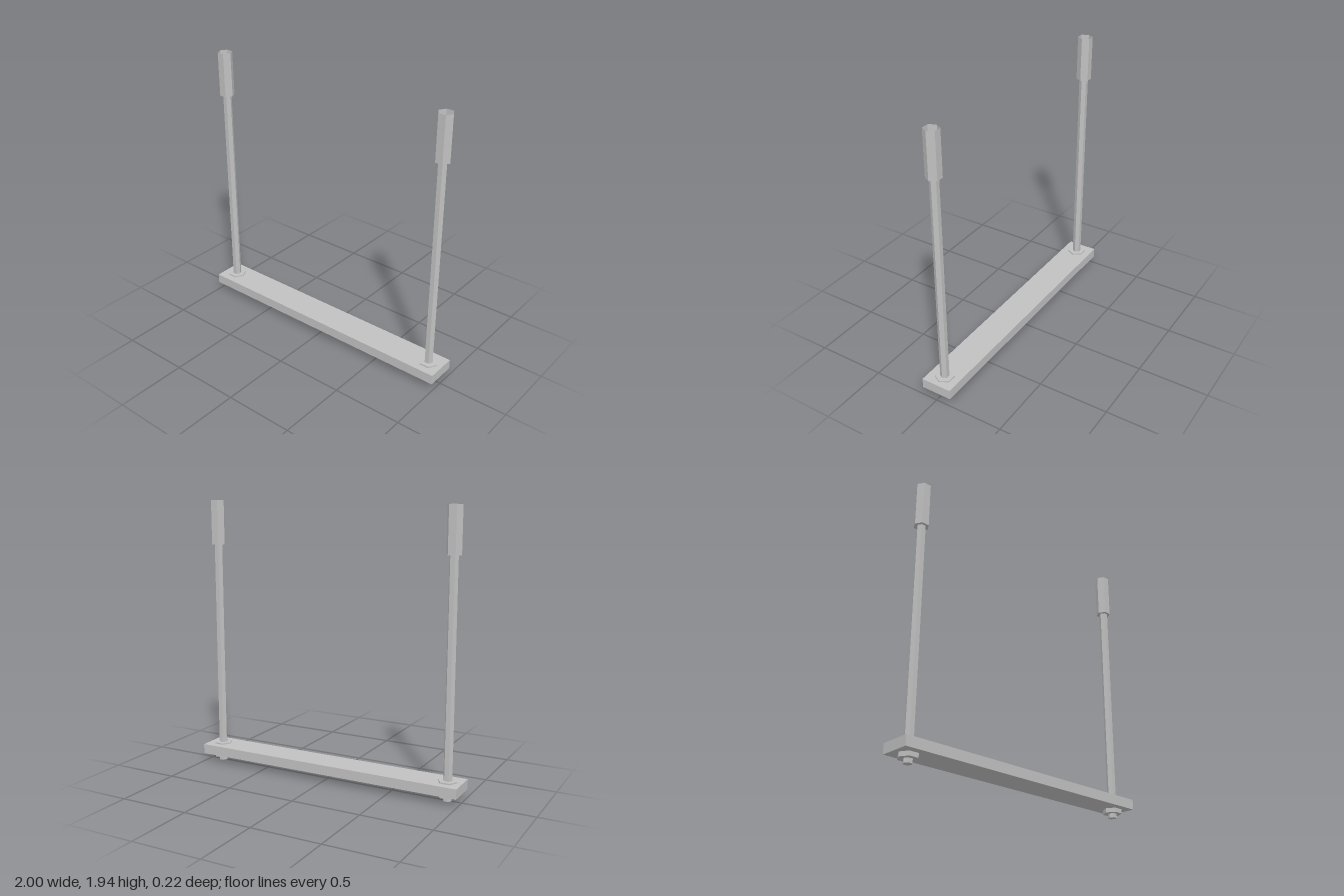
import * as THREE from 'three';

export function createModel() {
  const model = new THREE.Group();
  model.name = 'trapezeHanger';

  // double-sided because the coupling sleeves are open at the top
  const steel = new THREE.MeshStandardMaterial({ color: 0xc0c0c0, side: THREE.DoubleSide, flatShading: true });
  steel.name = 'galvanised steel';

  const add = (parent, name, geometry, y) => {
    const mesh = new THREE.Mesh(geometry, steel);
    mesh.name = name;
    mesh.position.y = y;
    parent.add(mesh);
    return mesh;
  };

  // hexagonal prism from y0 to y1 with corners on the x axis
  const hex = (parent, name, radius, y0, y1, open = false) =>
    add(parent, name,
      new THREE.CylinderGeometry(radius, radius, y1 - y0, 6, 1, open, Math.PI / 6),
      (y0 + y1) / 2);

  // cross bar
  add(model, 'crossBar', new THREE.BoxGeometry(2, 0.07, 0.22), 0.095);

  for (const side of [-1, 1]) {
    const hanger = new THREE.Group();
    hanger.name = side > 0 ? 'leftHanger' : 'rightHanger';
    hanger.position.x = side * 0.9;

    hex(hanger, 'rod', 0.031, 0, 1.625);
    hex(hanger, 'lowerNut', 0.067, 0.03, 0.06);
    hex(hanger, 'upperWasher', 0.067, 0.13, 0.14);

    // coupling sleeve: open at the top, closed around the rod at the bottom
    hex(hanger, 'couplingSleeve', 0.052, 1.625, 1.94, true);
    const base = add(hanger, 'couplingBase', new THREE.CircleGeometry(0.052, 6), 1.625);
    base.rotation.x = Math.PI / 2;

    model.add(hanger);
  }
  return model;
}
